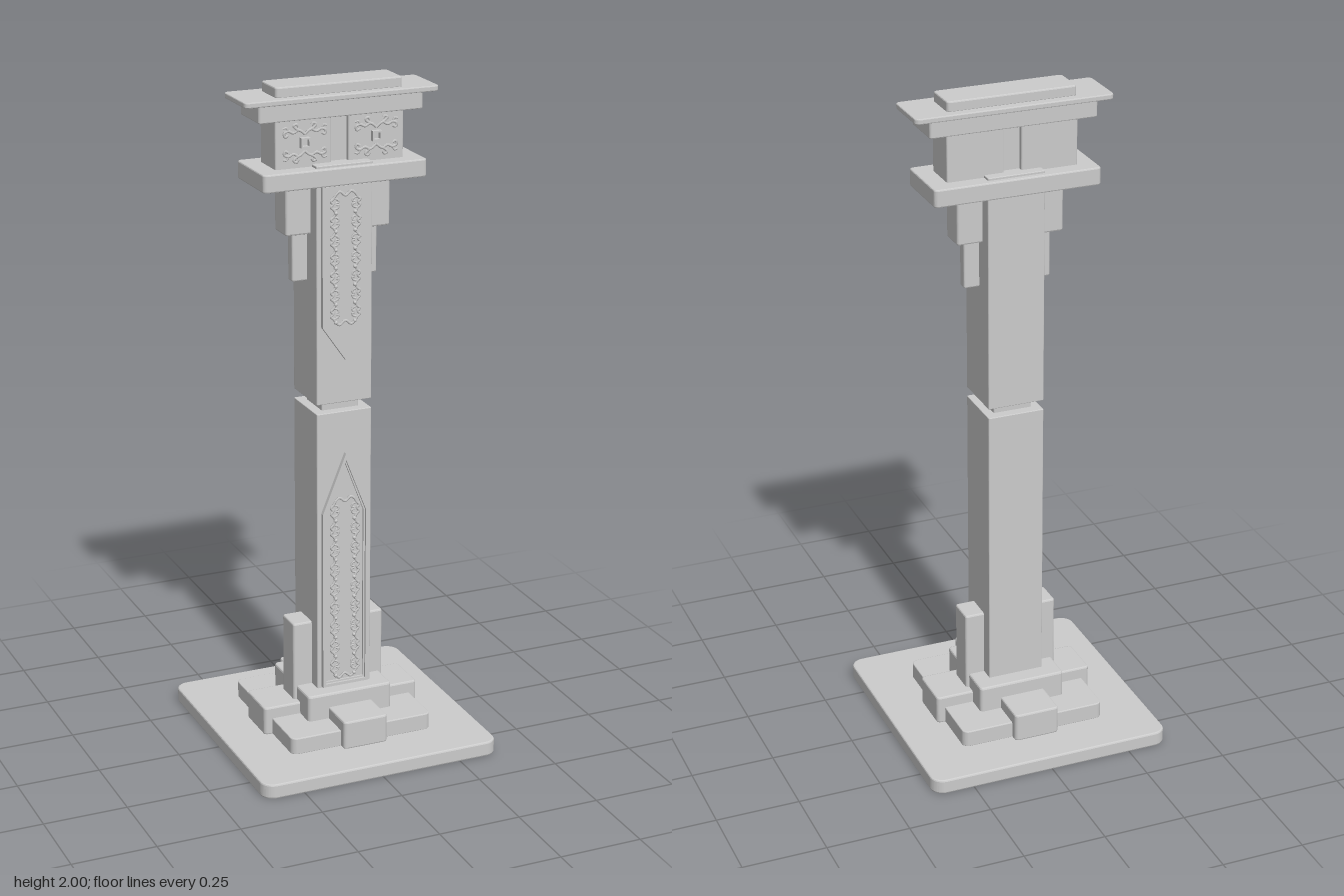
import * as THREE from 'three';
import { mergeGeometries } from 'three/addons/utils/BufferGeometryUtils.js';

const material = new THREE.MeshStandardMaterial({ color: 0xcccccc });
const CZ = -0.004; // the column's axis sits slightly behind the centre

export function createModel() {
  const model = new THREE.Group();

  function add(name, geometry) {
    const mesh = new THREE.Mesh(geometry, material);
    mesh.name = name;
    model.add(mesh);
    return mesh;
  }

  // Slab with corners rounded in plan and a small bevel on its rims
  function slab(name, x, z, halfX, halfZ, y0, y1, radius = 0.008, bevel = 0.003) {
    const a = halfX - bevel, b = halfZ - bevel;
    const r = Math.max(radius - bevel, 0.001);
    const s = new THREE.Shape();
    s.moveTo(a, -b + r);
    s.absarc(a - r, b - r, r, 0, Math.PI / 2);
    s.absarc(-a + r, b - r, r, Math.PI / 2, Math.PI);
    s.absarc(-a + r, -b + r, r, Math.PI, Math.PI * 1.5);
    s.absarc(a - r, -b + r, r, Math.PI * 1.5, Math.PI * 2);
    const g = new THREE.ExtrudeGeometry(s, {
      depth: y1 - y0 - 2 * bevel, bevelEnabled: true, bevelThickness: bevel,
      bevelSize: bevel, bevelSegments: 2, curveSegments: 6,
    });
    g.rotateX(-Math.PI / 2);
    g.translate(x, y0 + bevel, z);
    return add(name, g);
  }

  // Stepped foot
  slab('basePlate', 0, 0, 0.375, 0.375, 0, 0.045, 0.04, 0.005);
  slab('lowerStep', 0, CZ, 0.225, 0.225, 0.043, 0.095, 0.02);
  slab('upperStep', 0, CZ, 0.135, 0.136, 0.043, 0.175, 0.012, 0.006);
  slab('footArmsFrontBack', 0, CZ, 0.07, 0.252, 0.043, 0.131, 0.012, 0.005);
  slab('footArmsSides', 0, CZ, 0.25, 0.07, 0.043, 0.131, 0.012, 0.005);

  // Shaft in two lengths with a narrow neck between them
  slab('lowerShaft', 0, CZ + 0.002, 0.086, 0.086, 0.17, 1.042, 0.004, 0.002);
  slab('shaftNeck', 0, CZ + 0.002, 0.058, 0.056, 1.03, 1.08, 0.004, 0.002);
  slab('upperShaft', 0, CZ + 0.002, 0.086, 0.086, 1.07, 1.775, 0.004, 0.002);

  // Side buttresses at the foot and stepped brackets under the capital
  for (const side of [-1, 1]) {
    slab('buttress', side * 0.11, CZ + 0.002, 0.035, 0.043, 0.12, 0.376, 0.008, 0.005);
    slab('bracket', side * 0.12, CZ + 0.002, 0.041, 0.043, 1.57, 1.73, 0.008, 0.005);
    slab('bracketDrop', side * 0.105, CZ + 0.002, 0.027, 0.017, 1.427, 1.6, 0.006, 0.004);
  }

  // Capital, divided head and roof
  slab('capital', 0, CZ, 0.25, 0.102, 1.716, 1.768, 0.012, 0.004);
  slab('headCore', 0, CZ, 0.15, 0.04, 1.76, 1.915, 0.004, 0.002);
  for (const side of [-1, 1]) {
    slab('headBlock', side * 0.111, CZ, 0.085, 0.055, 1.76, 1.915, 0.005, 0.002);
  }
  slab('cornice', 0, CZ, 0.25, 0.07, 1.906, 1.957, 0.008, 0.003);
  slab('roofSlab', 0, CZ, 0.295, 0.082, 1.955, 1.971, 0.014, 0.003);
  slab('roofCap', 0, CZ, 0.193, 0.054, 1.968, 2, 0.01, 0.004);

  // Pointed outline from a flat end, through shoulders, to a tip
  function pointed(w, flat, shoulder, tip) {
    return [[-w, flat], [w, flat], [w, shoulder], [0, tip], [-w, shoulder]]
      .map(([x, y]) => new THREE.Vector2(x, y));
  }

  // Raised frame: an outer band and a lower inner band
  function pointedFrame(name, flat, shoulder, tip) {
    const d = Math.sign(tip - flat);
    const ring = (w, inset, next, z1) => {
      const outline = (k, hw) => pointed(hw, flat + d * k, shoulder - d * k * 0.3, tip - d * k * 2.1);
      const shape = new THREE.Shape(outline(inset, w));
      shape.holes.push(new THREE.Path(outline(inset + next, w - next)));
      const g = new THREE.ExtrudeGeometry(shape, { depth: z1 - 0.08, bevelEnabled: false });
      g.translate(0, 0, 0.08);
      return g;
    };
    add(name, mergeGeometries([ring(0.073, 0, 0.009, 0.097), ring(0.064, 0.009, 0.005, 0.09)]));
  }
  pointedFrame('lowerPanelFrame', 0.18, 0.735, 0.915);
  pointedFrame('upperPanelFrame', 1.716, 1.305, 1.2);

  // Carved line through a few points
  function carve(points, z, r = 0.0025) {
    const curve = new THREE.CatmullRomCurve3(points.map(([x, y]) => new THREE.Vector3(x, y, z)));
    return new THREE.TubeGeometry(curve, points.length * 4, r, 5);
  }

  // Two mirrored columns of waves and curls, closed at both ends
  function scrollwork(name, y0, y1, count) {
    const parts = [], step = (y1 - y0) / count, z = 0.09;
    for (const m of [-1, 1]) {
      for (let i = 0; i < count; i++) {
        const y = y0 + i * step;
        const at = (list) => list.map(([x, t]) => [m * x, y + t * step]);
        parts.push(carve(at([[0.03, 0], [0.037, 0.2], [0.045, 0.35], [0.038, 0.5],
          [0.045, 0.65], [0.037, 0.8], [0.03, 1]]), z, 0.004));
        parts.push(carve(at([[0.037, 0.2], [0.024, 0.28], [0.021, 0.42], [0.029, 0.45]]), z, 0.003));
        parts.push(carve(at([[0.037, 0.8], [0.024, 0.72], [0.021, 0.58], [0.029, 0.55]]), z, 0.003));
        const bead = new THREE.SphereGeometry(0.006, 8, 6);
        bead.translate(m * 0.03, y, z);
        parts.push(bead);
      }
    }
    for (const [y, d] of [[y0, -1], [y1, 1]]) {
      parts.push(carve([[-0.03, y], [-0.018, y + d * 0.008], [0, y - d * 0.004],
        [0.018, y + d * 0.008], [0.03, y]], z, 0.004));
    }
    add(name, mergeGeometries(parts));
  }
  scrollwork('lowerScrollwork', 0.21, 0.77, 9);
  scrollwork('upperScrollwork', 1.315, 1.69, 7);

  // Head ornament: four curling sprays around a small square
  for (const side of [-1, 1]) {
    const parts = [], cx = side * 0.109, cy = 1.84, z = 0.056;
    for (const mx of [-1, 1]) {
      for (const my of [-1, 1]) {
        const at = (list) => list.map(([x, y]) => [cx + mx * x, cy + my * y]);
        parts.push(carve(at([[0, 0.024], [0.012, 0.034], [0.025, 0.04], [0.034, 0.05],
          [0.025, 0.054], [0.02, 0.047]]), z, 0.004));
        parts.push(carve(at([[0.02, 0.038], [0.035, 0.03], [0.05, 0.036], [0.063, 0.03],
          [0.06, 0.02], [0.051, 0.024]]), z, 0.004));
        parts.push(carve(at([[0.05, 0.036], [0.056, 0.046], [0.066, 0.044]]), z, 0.003));
      }
      const upright = new THREE.BoxGeometry(0.005, 0.028, 0.018);
      upright.translate(cx + mx * 0.012, cy, z);
      const rail = new THREE.BoxGeometry(0.028, 0.005, 0.018);
      rail.translate(cx, cy + mx * 0.012, z);
      parts.push(upright, rail);
    }
    add('headOrnament', mergeGeometries(parts));
  }

  return model;
}
